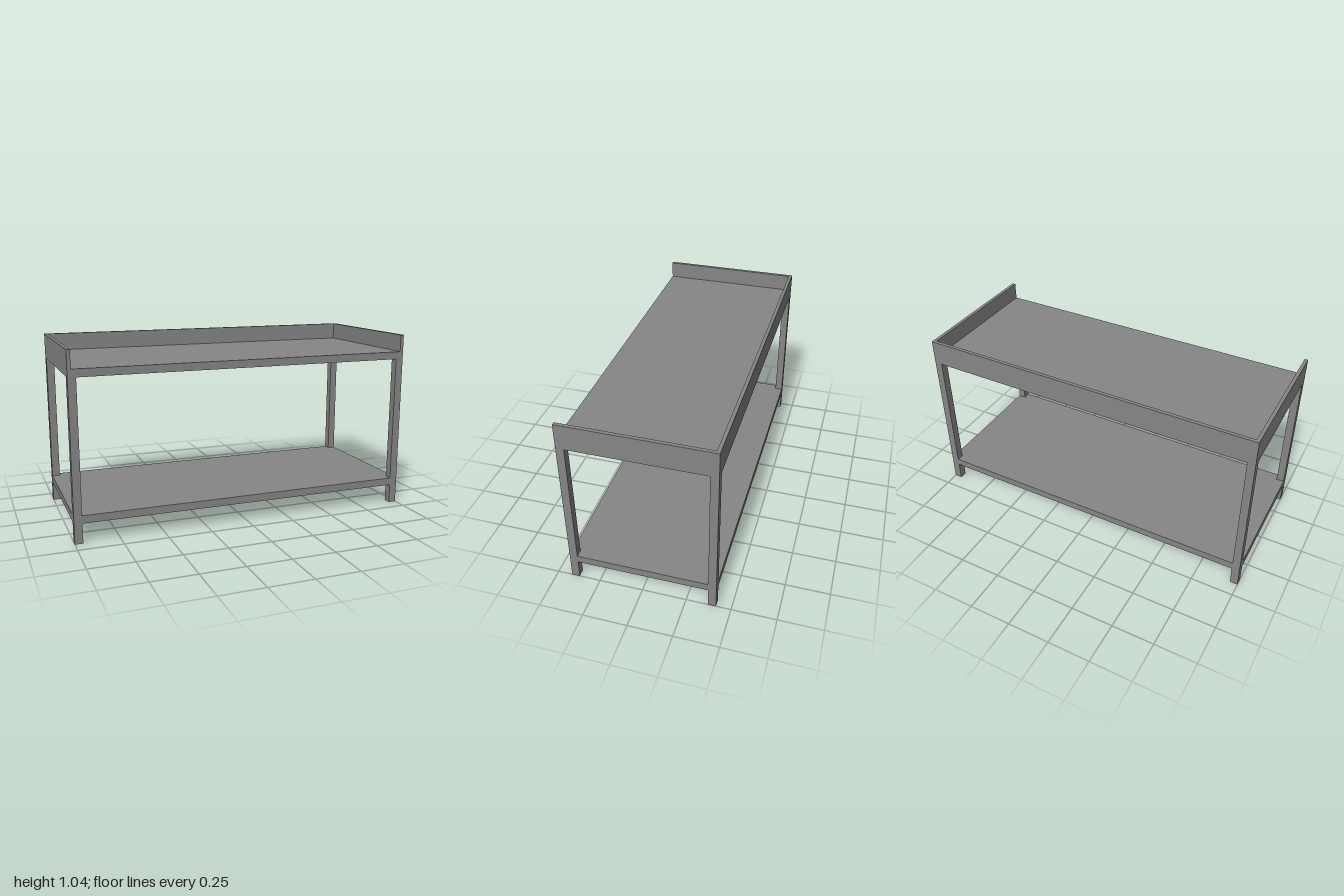
import * as THREE from 'three';

const W = 2, D = 0.834;          // overall width and depth
const LEG = 0.045, SKIN = 0.003; // tube size and sheet thickness
const RIM = 0.044;               // height of the folded tray edge
const TOP = 0.944, SHELF = 0.157; // heights of the two surfaces

export function createModel() {
  const group = new THREE.Group();
  const material = new THREE.MeshStandardMaterial({ color: 0x868686, flatShading: true, side: THREE.DoubleSide });

  // Box given by its size, centre x/z and bottom y
  const box = (parent, name, w, h, d, x, y, z) => {
    const mesh = new THREE.Mesh(new THREE.BoxGeometry(w, h, d), material);
    mesh.position.set(x, y + h / 2, z);
    mesh.name = name;
    parent.add(mesh);
  };

  // Sheet tray: flat top with edges folded down, open underneath
  const tray = (name, top) => {
    const g = new THREE.Group();
    g.name = name;
    box(g, 'plate', W, SKIN, D, 0, top - SKIN, 0);
    for (const s of [-1, 1]) {
      box(g, 'longEdge', W, RIM - SKIN, SKIN, 0, top - RIM, s * (D - SKIN) / 2);
      box(g, 'shortEdge', SKIN, RIM - SKIN, D - 2 * SKIN, s * (W - SKIN) / 2, top - RIM, 0);
    }
    group.add(g);
  };
  tray('worktop', TOP);
  tray('lowerShelf', SHELF);

  // Square tube legs, open at the foot
  const square = (Type, r) => new Type([[-r, -r], [r, -r], [r, r], [-r, r]].map(([x, y]) => new THREE.Vector2(x, y)));
  const section = square(THREE.Shape, LEG / 2);
  section.holes.push(square(THREE.Path, LEG / 2 - SKIN));
  const legGeometry = new THREE.ExtrudeGeometry(section, { depth: TOP - SKIN, bevelEnabled: false });
  legGeometry.rotateX(-Math.PI / 2);
  for (const sx of [-1, 1]) for (const sz of [-1, 1]) {
    const leg = new THREE.Mesh(legGeometry, material);
    leg.name = (sz > 0 ? 'front' : 'back') + (sx > 0 ? 'Left' : 'Right') + 'Leg';
    leg.position.set(sx * (W - LEG) / 2, 0, sz * (D - LEG) / 2);
    group.add(leg);
  }

  // Upstands around the back and both ends of the worktop
  const T = 0.02, H = 0.1;
  box(group, 'backUpstand', W - 2 * T, H, T, 0, TOP, -(D - T) / 2);
  box(group, 'leftUpstand', T, H, D, (W - T) / 2, TOP, 0);
  box(group, 'rightUpstand', T, H, D, -(W - T) / 2, TOP, 0);

  return group;
}
